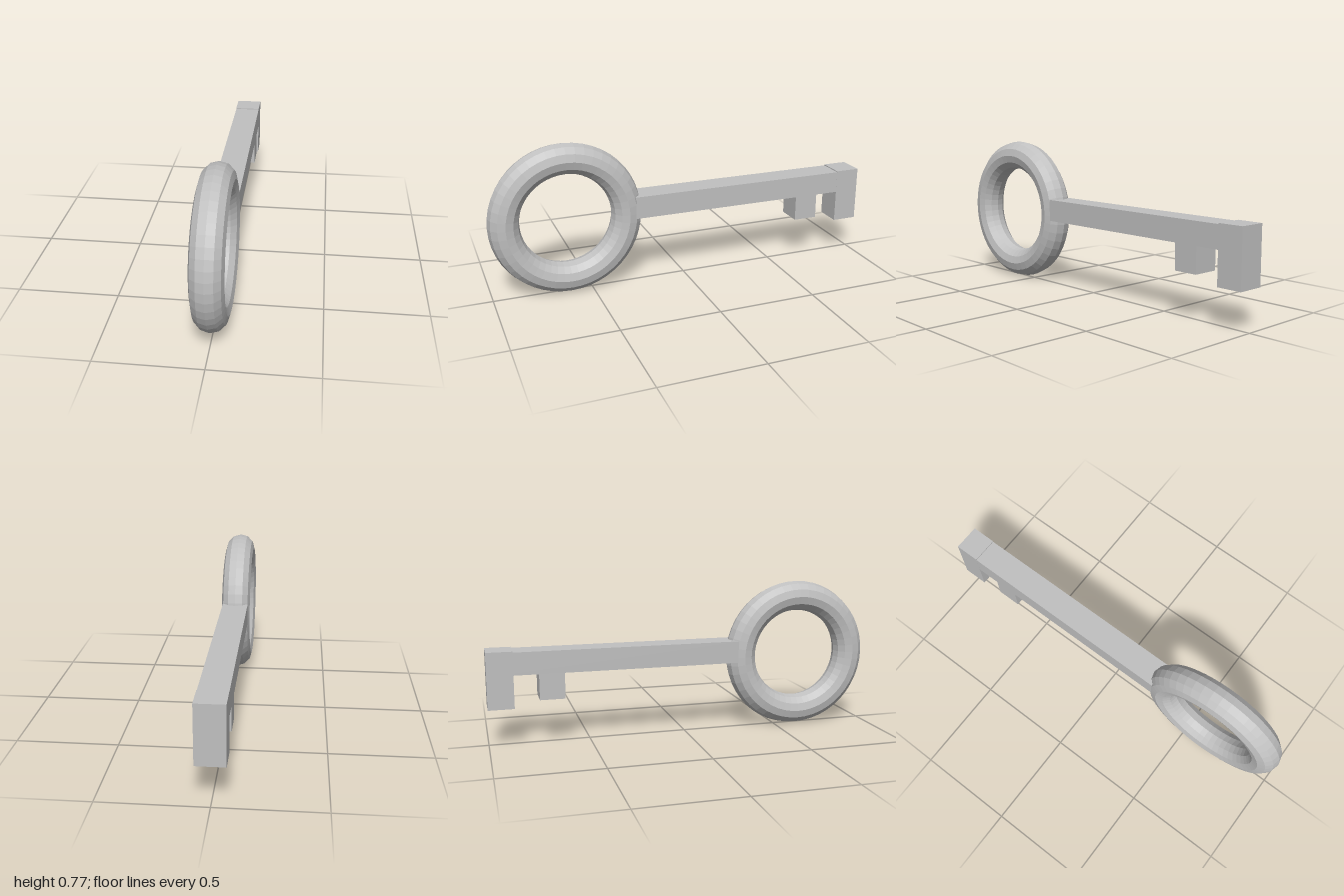
import * as THREE from 'three';

export function createModel() {
  const key = new THREE.Group();
  key.name = 'key';
  const metal = new THREE.MeshStandardMaterial({ color: 0xc0c0c0, flatShading: true });
  metal.name = 'grey metal';

  const add = (name, geometry, x, y, z) => {
    const mesh = new THREE.Mesh(geometry, metal);
    mesh.name = name;
    mesh.position.set(x, y, z);
    key.add(mesh);
    return mesh;
  };

  // Box given by its half width and its y and z ranges
  const bar = (name, halfWidth, y0, y1, z0, z1) =>
    add(name, new THREE.BoxGeometry(halfWidth * 2, y1 - y0, z1 - z0), 0, (y0 + y1) / 2, (z0 + z1) / 2);

  // Ring handle, standing in the y-z plane
  add('bow', new THREE.TorusGeometry(0.307, 0.077, 12, 48), 0, 0.386, 0.616).rotation.y = Math.PI / 2;

  // Square shaft running back from the ring
  bar('shaft', 0.068, 0.36, 0.473, -0.998, 0.275);

  // Teeth: a short one and the longer one that caps the end
  bar('shortTooth', 0.0675, 0.23, 0.37, -0.75, -0.625);
  bar('endTooth', 0.0685, 0.195, 0.478, -1, -0.872);

  return key;
}
